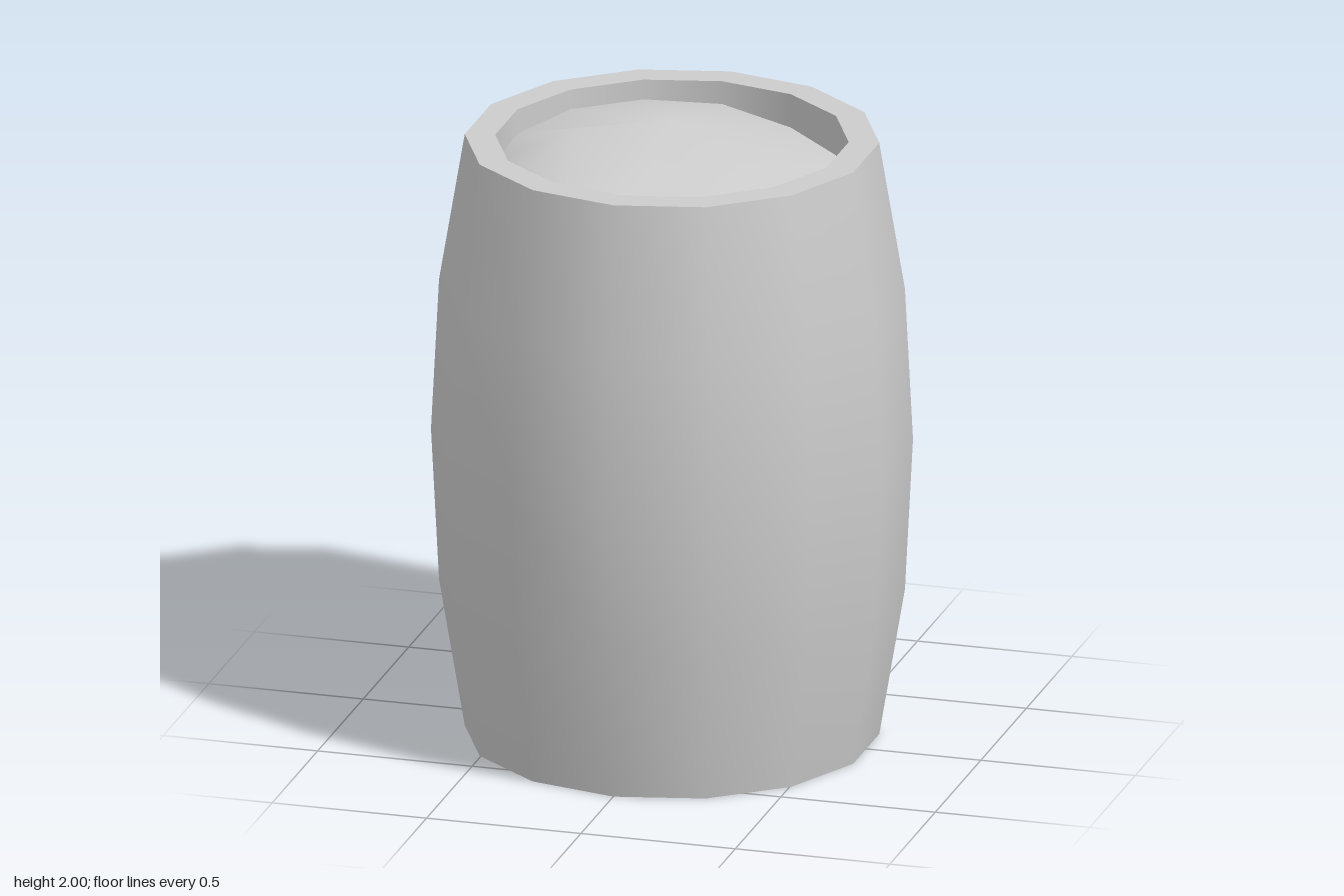
import * as THREE from 'three';

const SIDES = 14;
const TOP = 1.95, RIM_R = 0.645, INNER_R = 0.55;

export function createModel() {
  const group = new THREE.Group();
  group.name = 'barrel';
  const material = new THREE.MeshStandardMaterial({ color: 0xcccccc });

  const add = (name, geometry, mat = material) => {
    const mesh = new THREE.Mesh(geometry, mat);
    mesh.name = name;
    group.add(mesh);
  };
  // Each turned piece is its own lathe, so the rims stay sharp
  const turned = (name, points) =>
    add(name, new THREE.LatheGeometry(points.map(([r, y]) => new THREE.Vector2(r, y)), SIDES));

  // Barrel shell
  turned('staves', [[RIM_R, 0], [0.725, 0.48], [0.75, 0.975], [0.725, 1.47], [RIM_R, TOP]]);
  turned('topRim', [[RIM_R, TOP], [INNER_R, TOP]]);
  turned('topInnerWall', [[INNER_R, TOP], [INNER_R, 1.74]]);
  turned('bottomRim', [[INNER_R, 0], [RIM_R, 0]]);
  turned('bottomInnerWall', [[INNER_R, 0.1], [INNER_R, 0]]);
  turned('bottomBoard', [[0, 0.1], [INNER_R, 0.1]]);

  // Heaped contents: uneven edge around the wall, a centre point and a peak
  const edgeHeights = [1.82, 1.795, 1.795, 1.78, 1.80, 1.82, 1.84,
    1.875, 1.885, 1.885, 1.87, 1.86, 1.87, 1.845];
  const positions = [];
  edgeHeights.forEach((y, i) => {
    const a = (i / SIDES) * Math.PI * 2;
    positions.push(INNER_R * Math.sin(a), y, INNER_R * Math.cos(a));
  });
  const centre = SIDES, peak = SIDES + 1, peakStart = 10;
  positions.push(-0.03, 1.983, -0.07, -0.28, 2.0, 0.13);

  const index = [];
  for (let i = 0; i < SIDES; i++) {
    index.push(i < peakStart ? centre : peak, i, (i + 1) % SIDES);
  }
  index.push(centre, peakStart, peak, centre, peak, 0);

  const heap = new THREE.BufferGeometry();
  heap.setAttribute('position', new THREE.Float32BufferAttribute(positions, 3));
  heap.setIndex(index);
  heap.computeVertexNormals();
  add('contents', heap);

  return group;
}
